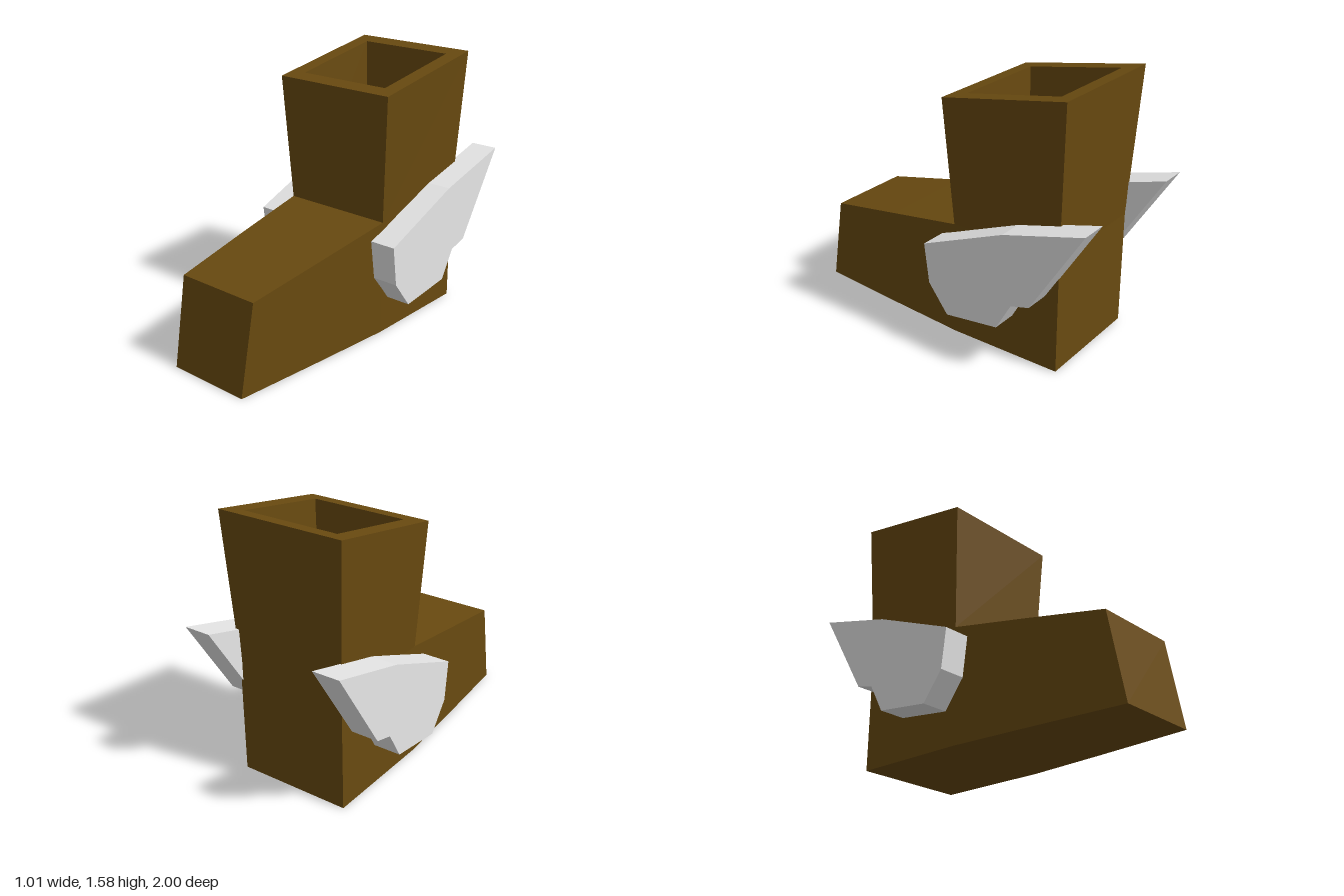
import * as THREE from 'three';

const brown = new THREE.MeshStandardMaterial({ color: 0x694a10 });
brown.name = 'brown leather';
const pale = new THREE.MeshStandardMaterial({ color: 0xe8e8e8 });
pale.name = 'pale wing';

// Faceted skin over four-cornered rings, counter-clockwise seen from the last ring
function loft(rings, capStart, capEnd) {
  const pos = [];
  const quad = (a, b, c, d) => [a, b, c, a, c, d].forEach((p) => pos.push(...p));
  for (let r = 0; r < rings.length - 1; r++) {
    for (let i = 0; i < 4; i++) {
      const j = (i + 1) % 4;
      quad(rings[r][i], rings[r][j], rings[r + 1][j], rings[r + 1][i]);
    }
  }
  if (capStart) quad(...[...rings[0]].reverse());
  if (capEnd) quad(...rings[rings.length - 1]);
  const geo = new THREE.BufferGeometry();
  geo.setAttribute('position', new THREE.Float32BufferAttribute(pos, 3));
  geo.computeVertexNormals();
  return geo;
}

function addMesh(parent, name, geometry, material) {
  const mesh = new THREE.Mesh(geometry, material);
  mesh.name = name;
  parent.add(mesh);
  return mesh;
}

export function createModel() {
  const model = new THREE.Group();
  model.name = 'wingedBoot';

  const boot = new THREE.Group();
  boot.name = 'boot';
  boot.position.x = 0.006;
  model.add(boot);

  // Foot: sections from heel to toe
  const footRing = (wBottom, zBottom, wTop, yTop, zTop) => [
    [-wBottom, 0, zBottom], [wBottom, 0, zBottom], [wTop, yTop, zTop], [-wTop, yTop, zTop],
  ];
  addMesh(boot, 'foot', loft([
    footRing(0.345, -0.758, 0.345, 0.695, -0.758),
    footRing(0.345, -0.065, 0.345, 0.695, -0.065),
    footRing(0.307, 0.42, 0.307, 0.61, 0.42),
    footRing(0.256, 1, 0.265, 0.523, 0.905),
  ], true, true), brown);

  // Shaft: outer wall, slanted rim, inner wall and floor
  const shaftRing = (w, yFront, zFront, yBack, zBack) => [
    [-w, yFront, zFront], [w, yFront, zFront], [w, yBack, zBack], [-w, yBack, zBack],
  ];
  addMesh(boot, 'shaft', loft([
    shaftRing(0.345, 0.695, -0.065, 0.695, -0.758),
    shaftRing(0.392, 1.445, -0.027, 1.577, -0.8),
    shaftRing(0.297, 1.461, -0.123, 1.561, -0.708),
    shaftRing(0.27, 0.75, -0.145, 0.75, -0.685),
  ], false, true), brown);

  // Wings: side outline as (-z, y), extruded sideways
  const outline = [
    [-0.03, 0.608], [0, 0.372], [0.125, 0.207], [0.465, 0.25],
    [0.56, 0.417], [0.675, 0.447], [0.996, 0.955], [0.5, 0.822],
  ].map(([x, y]) => new THREE.Vector2(x, y));
  const wingGeo = new THREE.ExtrudeGeometry(new THREE.Shape(outline), { depth: 0.165, bevelEnabled: false });
  wingGeo.rotateY(Math.PI / 2);
  addMesh(model, 'leftWing', wingGeo, pale).position.x = 0.339;
  addMesh(model, 'rightWing', wingGeo, pale).position.x = -0.507;

  return model;
}
